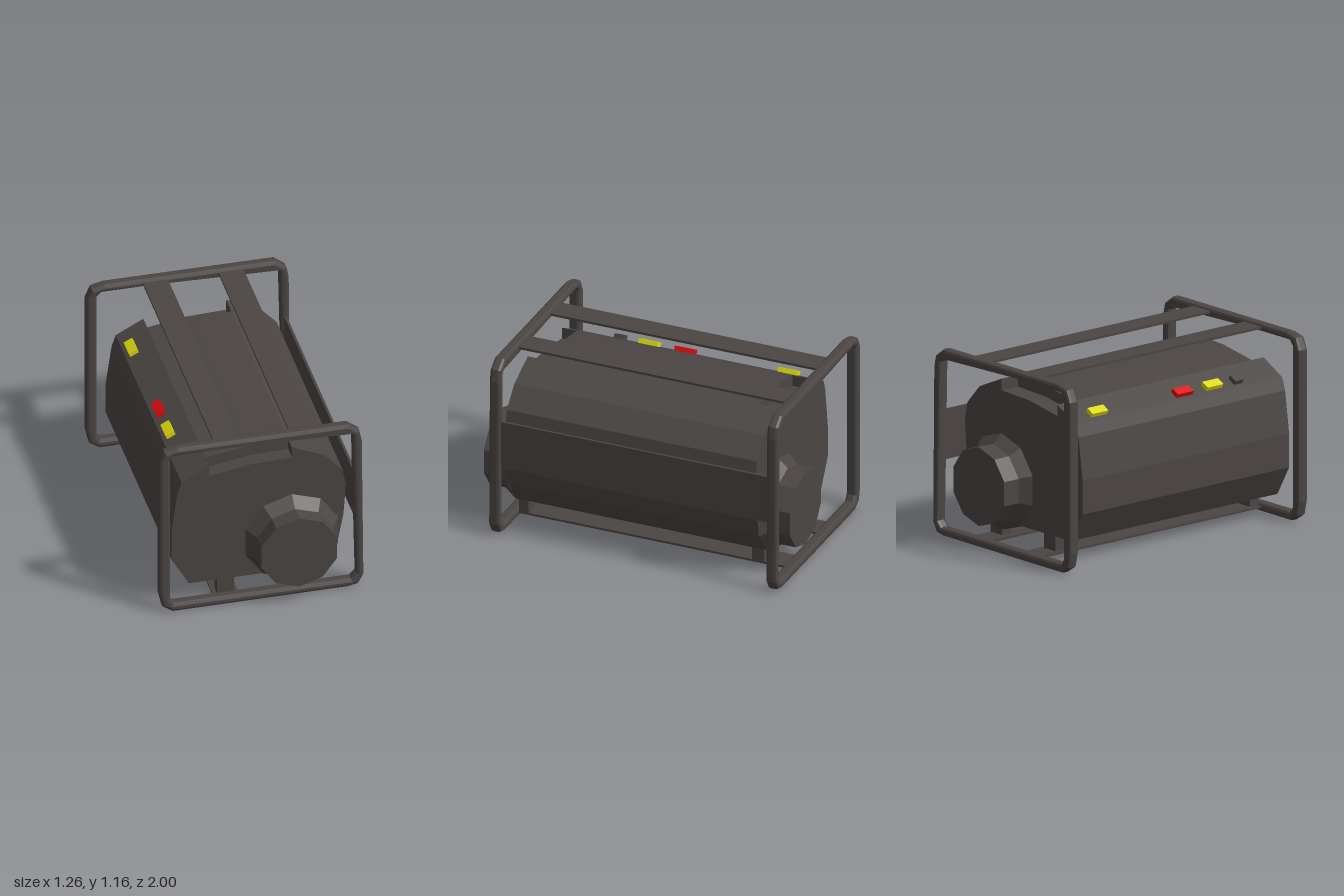
import * as THREE from 'three';

const charcoal = new THREE.MeshStandardMaterial({ color: 0x4b4644 });
const yellow = new THREE.MeshStandardMaterial({ color: 0xdcd80c });
const red = new THREE.MeshStandardMaterial({ color: 0xdc0c0e });
charcoal.name = 'charcoal';
yellow.name = 'yellow';
red.name = 'red';

const toPoints = (list) => list.map(([x, y]) => new THREE.Vector2(x, y));

export function createModel() {
  const model = new THREE.Group();
  model.name = 'generator';

  function add(name, geometry, material = charcoal, x = 0, y = 0, z = 0) {
    const mesh = new THREE.Mesh(geometry, material);
    mesh.name = name;
    mesh.position.set(x, y, z);
    model.add(mesh);
    return mesh;
  }

  function box(name, x0, x1, y0, y1, z0, z1) {
    add(name, new THREE.BoxGeometry(x1 - x0, y1 - y0, z1 - z0), charcoal,
      (x0 + x1) / 2, (y0 + y1) / 2, (z0 + z1) / 2);
  }

  // Housing: one faceted profile, with a recess in the top at both ends
  const lower = [
    [-0.31, 0.965], [-0.48, 0.875], [-0.505, 0.8], [-0.542, 0.54], [-0.542, 0.33],
    [-0.435, 0.143], [0.024, 0.143], [0.2, 0.085], [0.376, 0.143], [0.48, 0.29],
    [0.518, 0.49], [0.533, 0.7], [0.512, 0.81], [0.4, 0.932], [0.2, 1.02],
  ];
  const fullTop = [[-0.05, 1.008]];
  const recessTop = [[0.2, 0.948], [-0.05, 0.938], [-0.31, 0.895]];
  function housing(name, top, z0, z1) {
    const shape = new THREE.Shape(toPoints([...lower, ...top]));
    add(name, new THREE.ExtrudeGeometry(shape, { depth: z1 - z0, bevelEnabled: false }), charcoal, 0, 0, z0);
  }
  housing('housing', fullTop, -0.69, 0.72);
  housing('frontHousingEnd', recessTop, 0.72, 0.815);
  housing('backHousingEnd', recessTop, -0.82, -0.69);

  // Ten-sided drum ends with a tapered shoulder
  function drumSection(name, rFront, rBack, z0, z1) {
    const g = new THREE.CylinderGeometry(rFront, rBack, z1 - z0, 10).rotateX(Math.PI / 2).toNonIndexed();
    g.computeVertexNormals();
    add(name, g, charcoal, 0.2, 0.382, (z0 + z1) / 2);
  }
  drumSection('frontDrumShoulder', 0.245, 0.3, 0.815, 0.895);
  drumSection('frontDrumCap', 0.245, 0.245, 0.895, 1);
  drumSection('backDrumShoulder', 0.3, 0.245, -0.885, -0.82);
  drumSection('backDrumCap', 0.245, 0.245, -1, -0.885);

  // Bevelled tube frames at both ends
  const outer = [
    [-0.632, 0.13], [-0.612, 0.04], [-0.55, 0.0], [0.53, 0.005], [0.595, 0.018], [0.628, 0.08],
    [0.618, 1.04], [0.602, 1.115], [0.535, 1.165], [-0.52, 1.165], [-0.6, 1.145], [-0.632, 1.07],
  ];
  const inner = [
    [-0.566, 0.09], [-0.545, 0.056], [0.55, 0.056], [0.582, 0.09],
    [0.56, 1.08], [0.535, 1.118], [-0.54, 1.118], [-0.566, 1.09],
  ];
  const frameShape = new THREE.Shape(toPoints(outer));
  frameShape.holes.push(new THREE.Path(toPoints(inner)));
  const frame = new THREE.ExtrudeGeometry(frameShape, {
    depth: 0.034, bevelThickness: 0.02, bevelSize: 0.018, bevelOffset: -0.018, bevelSegments: 2,
  }).translate(0, 0, -0.017);
  add('frontFrame', frame, charcoal, 0, 0, 0.85);
  add('backFrame', frame, charcoal, 0, 0, -0.963);

  // Flat rails joining the frames, and the feet under the housing
  for (const x of [-0.208, 0.258]) {
    box('topRail', x - 0.077, x + 0.077, 1.135, 1.15, -0.96, 0.85);
    box('bottomRail', x - 0.077, x + 0.077, 0.024, 0.038, -0.96, 0.85);
  }
  for (const x of [-0.208, 0.283]) {
    box('frontFoot', x - 0.052, x + 0.052, 0.03, 0.16, 0.75, 0.812);
    box('backFoot', x - 0.052, x + 0.052, 0.03, 0.16, -0.79, -0.71);
  }
  box('sidePanel', 0.585, 0.6, 0.46, 0.77, -0.96, 0.85);

  // Switches on the sloping shoulder
  function switchBlock(name, material, z0, z1) {
    const mesh = add(name, new THREE.BoxGeometry(0.057, 0.044, z1 - z0), material, -0.432, 0.907, (z0 + z1) / 2);
    mesh.rotation.z = 0.49;
  }
  switchBlock('backYellowSwitch', yellow, -0.675, -0.55);
  switchBlock('redSwitch', red, 0, 0.125);
  switchBlock('frontYellowSwitch', yellow, 0.235, 0.36);
  switchBlock('darkKnob', charcoal, 0.455, 0.52);

  return model;
}
